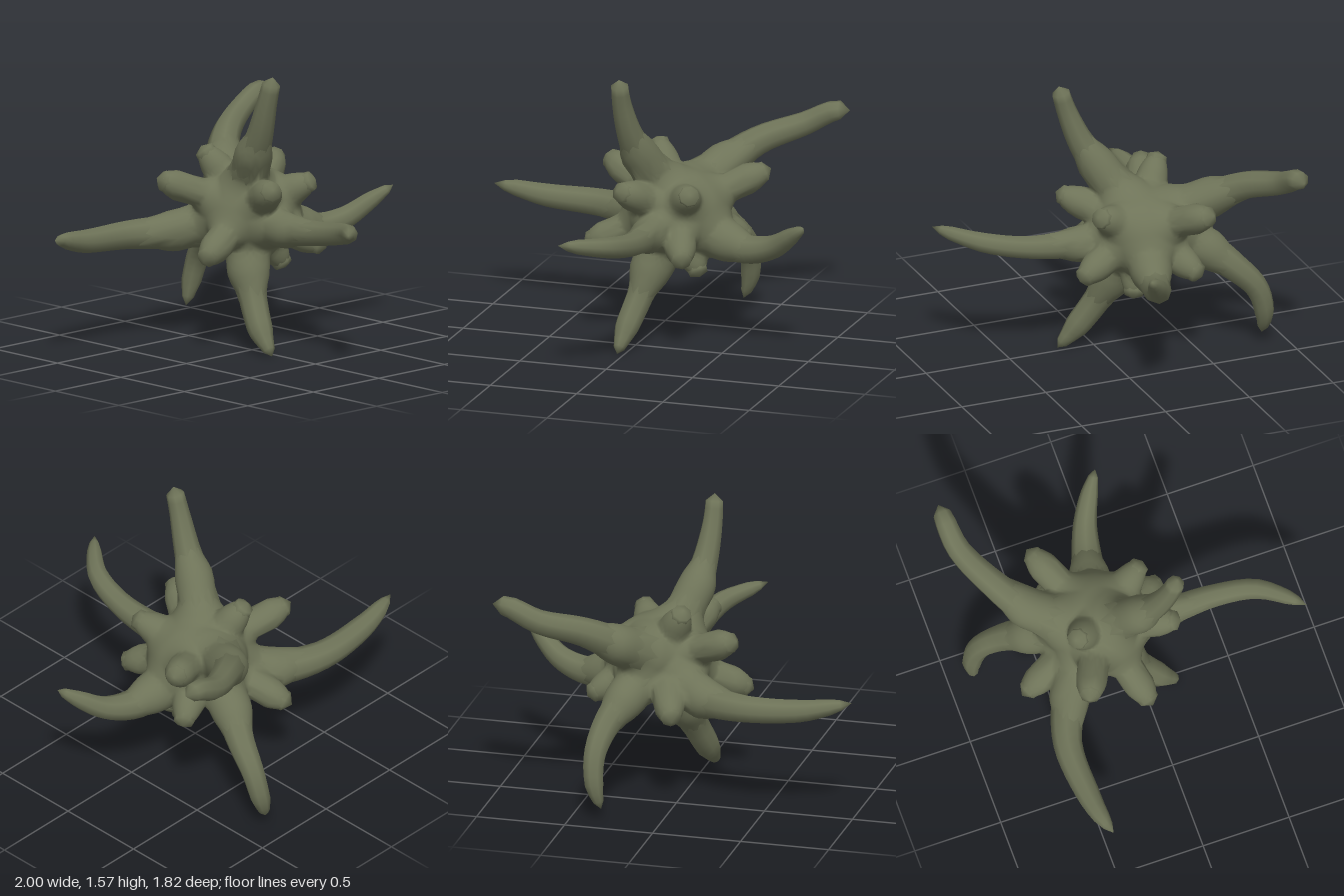
import * as THREE from 'three';
import { mergeVertices } from 'three/addons/utils/BufferGeometryUtils.js';

const V = (p) => new THREE.Vector3(p[0], p[1], p[2]);
const CENTRE = V([0.17, 0.74, -0.2]);
const BODY = V([0.295, 0.245, 0.275]);

// Each point is x, y, z, radius, running from the body to the tip
const ARMS = {
  topArm: [[0.09, 0.92, -0.13, 0.13], [0.02, 1.09, -0.01, 0.092], [-0.01, 1.23, 0.075, 0.073], [-0.03, 1.42, 0.15, 0.056], [-0.03, 1.57, 0.195, 0.048]],
  sideArmRight: [[0.02, 0.66, -0.36, 0.14], [-0.14, 0.62, -0.47, 0.1], [-0.4, 0.62, -0.575, 0.08], [-0.72, 0.635, -0.57, 0.066], [-0.88, 0.665, -0.55, 0.048], [-1, 0.69, -0.52, 0.015]],
  frontArm: [[0.14, 0.68, -0.05, 0.13], [0.12, 0.68, 0.14, 0.085], [0.115, 0.71, 0.45, 0.066], [0.06, 0.755, 0.68, 0.058], [-0.06, 0.79, 0.83, 0.04], [-0.14, 0.81, 0.905, 0.012]],
  bottomArm: [[0.12, 0.58, -0.16, 0.15], [0.06, 0.43, -0.09, 0.104], [0.02, 0.28, -0.01, 0.077], [-0.02, 0.13, 0.09, 0.07], [-0.04, 0.005, 0.2, 0.022]],
  backArmUpper: [[0.22, 0.83, -0.4, 0.15], [0.32, 0.92, -0.56, 0.1], [0.48, 1.03, -0.7, 0.08], [0.7, 1.11, -0.82, 0.067], [0.86, 1.19, -0.845, 0.058], [0.95, 1.2, -0.85, 0.042]],
  sideArmLeft: [[0.34, 0.64, -0.18, 0.14], [0.47, 0.61, -0.14, 0.103], [0.6, 0.58, -0.11, 0.085], [0.77, 0.62, -0.06, 0.066], [0.9, 0.71, 0.01, 0.05], [1, 0.79, 0.08, 0.018]],
  backArmLower: [[0.22, 0.68, -0.4, 0.15], [0.28, 0.6, -0.55, 0.1], [0.35, 0.49, -0.69, 0.078], [0.38, 0.36, -0.81, 0.064], [0.37, 0.2, -0.86, 0.055], [0.33, 0.065, -0.86, 0.02]],
};

// Tips of the short knobs
const KNOBS = {
  frontKnobRight: [-0.04, 0.94, 0.21],
  frontKnobLower: [0.345, 0.56, 0.23],
  frontKnobLeft: [0.36, 0.93, 0.13],
  sideKnobRightUpper: [-0.32, 0.95, -0.42],
  sideKnobRightLower: [-0.32, 0.54, -0.05],
  sideKnobLeftUpper: [0.63, 0.95, -0.45],
  sideKnobLeftLower: [0.53, 0.55, -0.42],
  backKnob: [-0.03, 0.55, -0.71],
  topKnob: [-0.01, 1.09, -0.39],
  bottomKnob: [0.34, 0.4, -0.09],
};

// Shares vertices so the surface is shaded smoothly
function weld(geometry) {
  geometry.deleteAttribute('uv');
  geometry.deleteAttribute('normal');
  const g = mergeVertices(geometry, 1e-4);
  g.computeVertexNormals();
  return g;
}

// Tapered tube with a closed tip: scales every ring of a unit tube
function limb(points, steps, sides) {
  const curve = new THREE.CatmullRomCurve3(points.map(V), false, 'centripetal');
  const g = new THREE.TubeGeometry(curve, steps, 1, sides);
  const pos = g.attributes.position;
  const p = new THREE.Vector3();
  const last = points.length - 1;
  for (let i = 0; i <= steps; i++) {
    const u = i / steps;
    const centre = curve.getPointAt(u);
    const t = curve.getUtoTmapping(u) * last;
    const k = Math.min(Math.floor(t), last - 1);
    const r = THREE.MathUtils.lerp(points[k][3], points[k + 1][3], t - k);
    for (let j = 0; j <= sides; j++) {
      const n = i * (sides + 1) + j;
      p.fromBufferAttribute(pos, n).sub(centre).multiplyScalar(i === steps ? 0 : r).add(centre);
      pos.setXYZ(n, p.x, p.y, p.z);
    }
  }
  return weld(g);
}

// Knob path from inside the body to a blunt tip
function knobPoints(tip) {
  const dir = V(tip).sub(CENTRE);
  const length = dir.length();
  dir.normalize();
  const at = (d, r) => [...CENTRE.clone().addScaledVector(dir, d).toArray(), r];
  return [at(0.2, 0.085), at(length - 0.15, 0.071), at(length - 0.07, 0.061), at(length - 0.02, 0.054), at(length, 0.04)];
}

// Distance to a tapered rod between two limb points
function rodDistance(p, a, b) {
  const ab = V(b).sub(V(a));
  const ap = p.clone().sub(V(a));
  const t = THREE.MathUtils.clamp(ap.dot(ab) / ab.lengthSq(), 0, 1);
  return ap.addScaledVector(ab, -t).length() - 0.92 * THREE.MathUtils.lerp(a[3], b[3], t);
}

// Rounded body flowing smoothly into the root of every limb
function bodyGeometry() {
  const rods = [];
  for (const a of Object.values(ARMS)) rods.push([a[0], a[1]], [a[1], a[2]]);
  for (const tip of Object.values(KNOBS)) {
    const k = knobPoints(tip);
    rods.push([k[0], k[1]], [k[1], k[2]]);
  }
  const blend = 0.09;
  const distance = (p) => {
    let nearest = Infinity;
    const all = [(p.clone().sub(CENTRE).divide(BODY).length() - 1) * BODY.y];
    for (const [a, b] of rods) all.push(rodDistance(p, a, b));
    all.sort((m, n) => m - n);
    nearest = all[0];
    // Fillet between the two closest shapes
    const h = Math.max(blend - (all[1] - all[0]), 0) / blend;
    return nearest - h * h * blend * 0.25;
  };

  const g = weld(new THREE.IcosahedronGeometry(1, 20));
  const pos = g.attributes.position;
  const d = new THREE.Vector3();
  for (let i = 0; i < pos.count; i++) {
    d.fromBufferAttribute(pos, i).normalize();
    // Walk outwards until the surface is reached
    let r = 0.2;
    for (let n = 0; n < 40; n++) {
      const s = distance(CENTRE.clone().addScaledVector(d, r));
      if (s > -0.0005) break;
      r -= s * 0.8;
    }
    const p = CENTRE.clone().addScaledVector(d, r);
    pos.setXYZ(i, p.x, p.y, p.z);
  }
  g.computeVertexNormals();
  return g;
}

export function createModel() {
  const model = new THREE.Group();
  model.name = 'spikyCreature';
  const olive = new THREE.MeshStandardMaterial({ color: 0x6e7358 });
  olive.name = 'olive';
  const add = (name, geometry) => {
    const mesh = new THREE.Mesh(geometry, olive);
    mesh.name = name;
    model.add(mesh);
  };

  add('body', bodyGeometry());
  // Long curling arms
  for (const [name, points] of Object.entries(ARMS)) add(name, limb(points, 18, 8));
  // Short knobs
  for (const [name, tip] of Object.entries(KNOBS)) add(name, limb(knobPoints(tip), 10, 8));
  return model;
}
